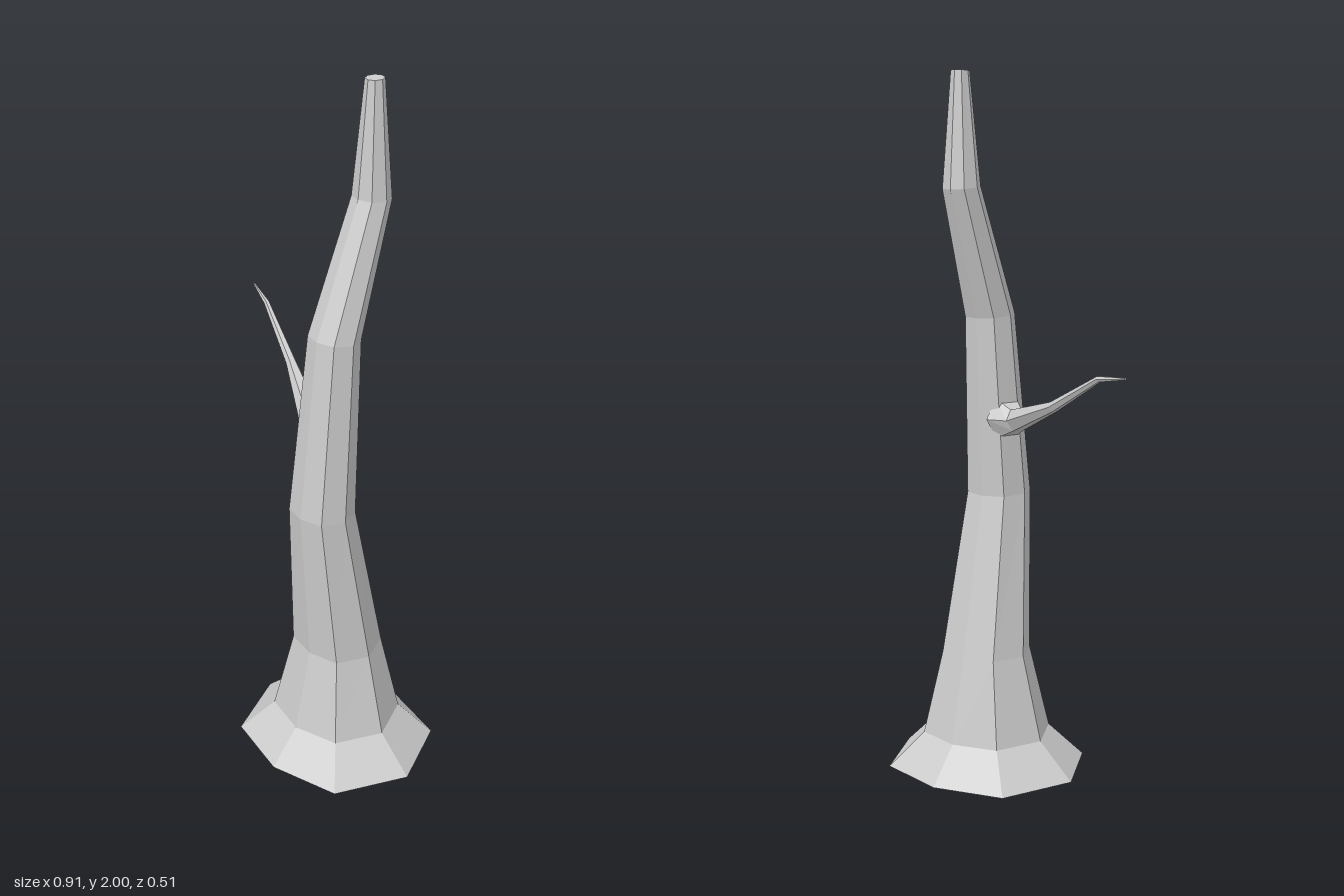
import * as THREE from 'three';

const material = new THREE.MeshStandardMaterial({ color: 0xcccccc, flatShading: true });

// Skin a list of rings (each a loop of Vector3, counter-clockwise seen from the tip) and cap both ends.
function loft(rings, name) {
  const positions = [];
  const tri = (...points) => points.forEach((p) => positions.push(p.x, p.y, p.z));
  const n = rings[0].length;
  for (let r = 0; r < rings.length - 1; r++) {
    for (let i = 0; i < n; i++) {
      const j = (i + 1) % n;
      const a = rings[r], b = rings[r + 1];
      tri(a[i], a[j], b[j]);
      tri(a[i], b[j], b[i]);
    }
  }
  const first = rings[0], last = rings[rings.length - 1];
  for (let i = 1; i < n - 1; i++) {
    tri(first[0], first[i + 1], first[i]);
    tri(last[0], last[i], last[i + 1]);
  }
  const geometry = new THREE.BufferGeometry();
  geometry.setAttribute('position', new THREE.Float32BufferAttribute(positions, 3));
  geometry.computeVertexNormals();
  const mesh = new THREE.Mesh(geometry, material);
  mesh.name = name;
  return mesh;
}

// Eight-sided trunk ring; tilt is the rise per unit of z.
function trunkRing([y, z, rx, rz, diagonal, tilt]) {
  return Array.from({ length: 8 }, (_, i) => {
    const angle = (i / 8) * Math.PI * 2;
    const corner = i % 2 === 1;
    const dx = Math.cos(angle) * (corner ? diagonal : rx);
    const dz = -Math.sin(angle) * (corner ? diagonal : rz);
    return new THREE.Vector3(0.153 + dx, y + dz * tilt, z + dz);
  });
}

// Six-sided ring square to the direction of the branch.
function branchRing(centre, direction, radius) {
  const side = new THREE.Vector3(0, 1, 0).cross(direction).normalize();
  const up = direction.clone().cross(side);
  return Array.from({ length: 6 }, (_, i) => {
    const angle = (i / 6) * Math.PI * 2;
    return centre.clone()
      .addScaledVector(side, Math.cos(angle) * radius)
      .addScaledVector(up, Math.sin(angle) * radius);
  });
}

export function createModel() {
  const model = new THREE.Group();
  model.name = 'bareTree';

  // Trunk: flared foot, bending forward and then back
  const trunk = [
    // y, centre z, x radius, z radius, diagonal radius, tilt
    [0, 0, 0.3, 0.257, 0.291, 0],
    [0.1, 0, 0.193, 0.167, 0.187, 0],
    [0.345, 0, 0.132, 0.112, 0.129, 0],
    [0.812, 0.065, 0.092, 0.083, 0.092, 0.05],
    [1.328, 0.025, 0.072, 0.065, 0.071, 0.1],
    [1.686, -0.104, 0.054, 0.05, 0.053, 0.1],
    [1.998, -0.106, 0.026, 0.025, 0.026, -0.06],
  ];
  model.add(loft(trunk.map(trunkRing), 'trunk'));

  // Side branch: wide collar in the trunk, thinning to a level tip
  const branch = [
    // x, y, z, radius
    [0.1, 1.035, 0.028, 0.066],
    [0.045, 1.036, 0.006, 0.035],
    [-0.15, 1.105, -0.1, 0.016],
    [-0.345, 1.205, -0.182, 0.009],
    [-0.453, 1.219, -0.228, 0.003],
  ];
  const centres = branch.map(([x, y, z]) => new THREE.Vector3(x, y, z));
  const rings = branch.map(([, , , radius], i) => {
    const from = centres[Math.max(i - 1, 0)];
    const to = centres[Math.min(i + 1, centres.length - 1)];
    return branchRing(centres[i], to.clone().sub(from).normalize(), radius);
  });
  model.add(loft(rings, 'branch'));

  return model;
}
